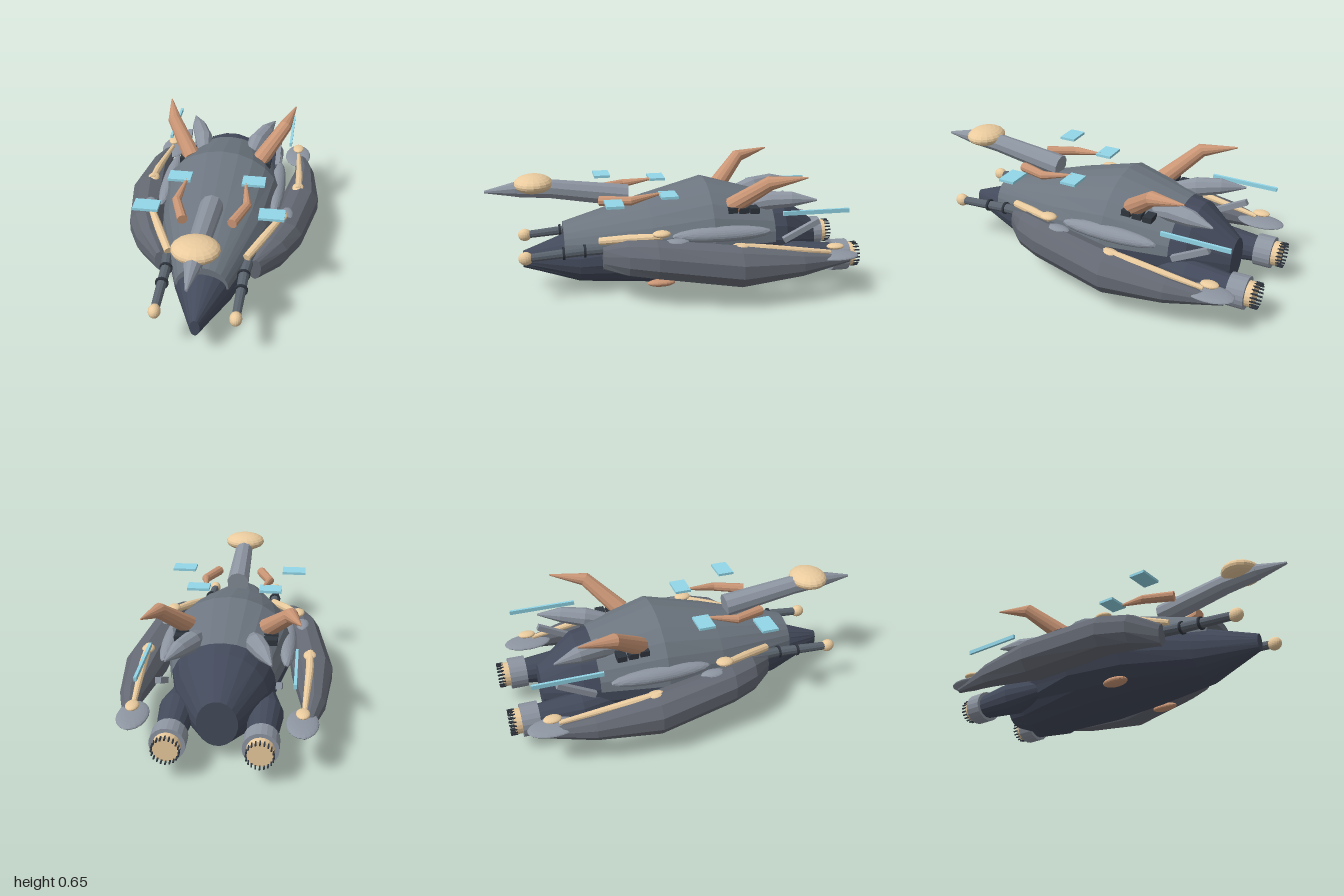
import * as THREE from 'three';

const mat = (color) => new THREE.MeshStandardMaterial({ color, flatShading: true, side: THREE.DoubleSide });
const M = {
  hull: mat(0x434a5b), shell: mat(0x6d7680), pod: mat(0x646973), light: mat(0x8d95a1),
  barrel: mat(0x5b646e), dark: mat(0x2f353e), beige: mat(0xeacb9e), copper: mat(0xc99575), cyan: mat(0x92d6e8),
};

const V = (x, y, z) => new THREE.Vector3(x, y, z);

// Skin a row of equal-length rings; closed rings get end caps
function skin(rings, closed = true) {
  const n = rings[0].length, pos = [];
  const tri = (...p) => p.forEach((q) => pos.push(q.x, q.y, q.z));
  const last = closed ? n : n - 1;
  for (let i = 0; i < rings.length - 1; i++) {
    for (let j = 0; j < last; j++) {
      const k = (j + 1) % n, A = rings[i], B = rings[i + 1];
      tri(A[j], B[j], A[k]);
      tri(A[k], B[j], B[k]);
    }
  }
  if (closed) {
    for (const [ring, front] of [[rings[0], true], [rings[rings.length - 1], false]]) {
      const c = ring.reduce((a, p) => a.add(p), V(0, 0, 0)).divideScalar(n);
      for (let j = 0; j < n; j++) {
        const k = (j + 1) % n;
        front ? tri(c, ring[j], ring[k]) : tri(c, ring[k], ring[j]);
      }
    }
  }
  const g = new THREE.BufferGeometry();
  g.setAttribute('position', new THREE.Float32BufferAttribute(pos, 3));
  g.computeVertexNormals();
  return g;
}

// Upright elliptical sections [x, y, z, rx, ry], ordered front to back
const loft = (sections, sides) => skin(sections.map(([x, y, z, rx, ry]) =>
  Array.from({ length: sides }, (_, j) => {
    const a = ((j + 0.5) / sides) * Math.PI * 2;
    return V(x + Math.cos(a) * rx, y + Math.sin(a) * ry, z);
  })));

// Bent tapering limb through points [x, y, z, radius]
function limb(points, s = 1, sides = 10) {
  const P = points.map(([x, y, z]) => V(x * s, y, z));
  return skin(P.map((p, i) => {
    const t = P[Math.min(i + 1, P.length - 1)].clone().sub(P[Math.max(i - 1, 0)]).normalize();
    const v = V(0, 1, 0).addScaledVector(t, -t.y).normalize();
    const u = t.clone().cross(v);
    return Array.from({ length: sides }, (_, j) => {
      const a = ((j + 0.5) / sides) * Math.PI * 2, r = points[i][3];
      return p.clone().addScaledVector(u, Math.cos(a) * r).addScaledVector(v, Math.sin(a) * r);
    });
  }));
}

export function createModel() {
  const model = new THREE.Group();
  const add = (name, geometry, material, x = 0, y = 0, z = 0) => {
    const m = new THREE.Mesh(geometry, material);
    m.name = name;
    m.position.set(x, y, z);
    model.add(m);
    return m;
  };
  const blob = (name, material, x, y, z, rx, ry, rz) =>
    add(name, new THREE.SphereGeometry(1, 18, 12).scale(rx, ry, rz), material, x, y, z);
  const drum = (name, material, x, y, z, r, length) =>
    add(name, new THREE.CylinderGeometry(r, r, length, 20).rotateX(Math.PI / 2), material, x, y, z);

  // Main hull
  add('hull', loft([
    [0, 0.175, 0.82, 0.025, 0.046], [0, 0.185, 0.52, 0.155, 0.147], [0, 0.25, 0.15, 0.282, 0.23],
    [0, 0.272, -0.17, 0.334, 0.265], [0, 0.235, -0.6, 0.23, 0.236], [0, 0.2, -0.8, 0.1, 0.12],
  ], 20), M.hull);

  // Upper shell: half arches [z, half width, base, top], the first forming the front lip
  add('upperShell', skin([
    [0.6, 0.125, 0.25, 0.33], [0.6, 0.135, 0.25, 0.37], [0.15, 0.287, 0.275, 0.5],
    [-0.17, 0.337, 0.285, 0.587], [-0.52, 0.262, 0.275, 0.488],
  ].map(([z, w, base, top]) => Array.from({ length: 13 }, (_, j) => {
    const a = (j / 12) * Math.PI;
    return V(Math.cos(a) * w, base + Math.sin(a) * (top - base), z);
  })), false), M.shell);

  // Neck, beak and head disc
  add('neck', limb([[0, 0.567, 0.84, 0.043], [0, 0.56, 0.65, 0.052], [0, 0.503, 0.25, 0.062]]), M.light);
  add('beak', limb([[0, 0.56, 1, 0.007], [0, 0.567, 0.83, 0.043]]), M.light);
  blob('headDisc', M.beige, 0, 0.593, 0.745, 0.117, 0.049, 0.103);

  for (const s of [1, -1]) {
    // Side pod with tail paddle
    add('sidePod', loft([
      [0.248, 0.238, 0.41, 0.031, 0.062], [0.325, 0.26, 0.29, 0.08, 0.097], [0.378, 0.262, 0.15, 0.096, 0.105],
      [0.44, 0.22, -0.27, 0.11, 0.112], [0.45, 0.213, -0.6, 0.06, 0.066], [0.41, 0.208, -0.88, 0.016, 0.016],
    ].map(([x, ...rest]) => [x * s, ...rest]), 10), M.pod);
    blob('tailPaddle', M.light, 0.4 * s, 0.228, -0.8, 0.077, 0.018, 0.13);
    blob('sideBulge', M.light, 0.31 * s, 0.355, -0.21, 0.045, 0.037, 0.268).rotation.z = -0.5 * s;
    blob('podPad', M.light, 0.38 * s, 0.346, 0.05, 0.036, 0.02, 0.07);

    // Beige arms lying on the pod
    add('frontArm', limb([[0.202, 0.318, 0.42, 0.021], [0.28, 0.349, 0.27, 0.023], [0.353, 0.375, 0.12, 0.017]], s), M.beige);
    blob('frontArmKnob', M.beige, 0.352 * s, 0.388, 0.12, 0.036, 0.018, 0.047);
    add('rearArm', limb([[0.427, 0.322, -0.25, 0.021], [0.425, 0.302, -0.42, 0.021], [0.405, 0.252, -0.77, 0.012]], s), M.beige);
    blob('rearArmKnob', M.beige, 0.425 * s, 0.318, -0.275, 0.034, 0.02, 0.047);
    blob('paddleKnob', M.beige, 0.4 * s, 0.28, -0.8, 0.033, 0.015, 0.047);

    // Forward cannon
    add('cannonBarrel', limb([[0.197, 0.248, 0.79, 0.022], [0.2, 0.27, 0.5, 0.027], [0.23, 0.29, 0.2, 0.032]], s), M.barrel);
    for (const [z, y] of [[0.61, 0.262], [0.5, 0.27]]) drum('cannonRing', M.dark, 0.199 * s, y, z, 0.034, 0.012);
    blob('cannonTip', M.beige, 0.197 * s, 0.247, 0.805, 0.031, 0.035, 0.038);

    // Large swept horn on a dark stepped mount
    add('rearHorn', limb([[0.195, 0.47, -0.29, 0.05], [0.325, 0.62, -0.455, 0.038], [0.374, 0.653, -0.64, 0.004]], s, 12), M.copper);
    for (let i = 0; i < 3; i++) {
      add('hornMount', new THREE.BoxGeometry(0.07, 0.03, 0.05), M.dark, 0.225 * s, 0.461 - i * 0.004, -0.28 - i * 0.06);
    }

    // Small front horn
    add('frontHorn', limb([[0.125, 0.515, 0.41, 0.027], [0.183, 0.523, 0.25, 0.024], [0.158, 0.55, 0.085, 0.006]], s), M.copper);

    // Grey fin and rear strut
    add('rearFin', limb([
      [0.135, 0.45, -0.37, 0.035], [0.16, 0.48, -0.5, 0.052], [0.205, 0.492, -0.62, 0.042], [0.247, 0.493, -0.745, 0.005],
    ], s), M.light);
    add('rearStrut', new THREE.BoxGeometry(0.028, 0.03, 0.215), M.light, 0.283 * s, 0.34, -0.65).rotation.x = 0.48;

    // Floating panels
    add('outerPanel', new THREE.BoxGeometry(0.13, 0.014, 0.09), M.cyan, 0.318 * s, 0.548, 0.355);
    add('innerPanel', new THREE.BoxGeometry(0.122, 0.014, 0.088), M.cyan, 0.198 * s, 0.548, 0.057);
    add('rearBar', new THREE.BoxGeometry(0.014, 0.022, 0.36), M.cyan, 0.36 * s, 0.463, -0.7);

    // Belly knob
    blob('bellyKnob', M.copper, 0.225 * s, 0.072, 0.1, 0.037, 0.021, 0.075).rotation.z = 0.15 * s;

    // Engine with nozzle pins
    const ex = 0.215 * s, ey = 0.163;
    add('engineBody', loft([
      [ex * 0.9, ey + 0.02, -0.33, 0.03, 0.04], [ex, ey, -0.62, 0.093, 0.093], [ex, ey, -0.86, 0.068, 0.068],
    ], 16), M.hull);
    drum('engineCollar', M.light, ex, ey, -0.892, 0.086, 0.092);
    drum('engineNozzle', M.beige, ex, ey, -0.955, 0.066, 0.038);
    for (let i = 0; i < 20; i++) {
      const a = (i / 20) * Math.PI * 2;
      add('nozzlePin', new THREE.BoxGeometry(0.007, 0.007, 0.034), M.dark,
        ex + Math.cos(a) * 0.064, ey + Math.sin(a) * 0.064, -0.983);
    }
  }
  return model;
}
